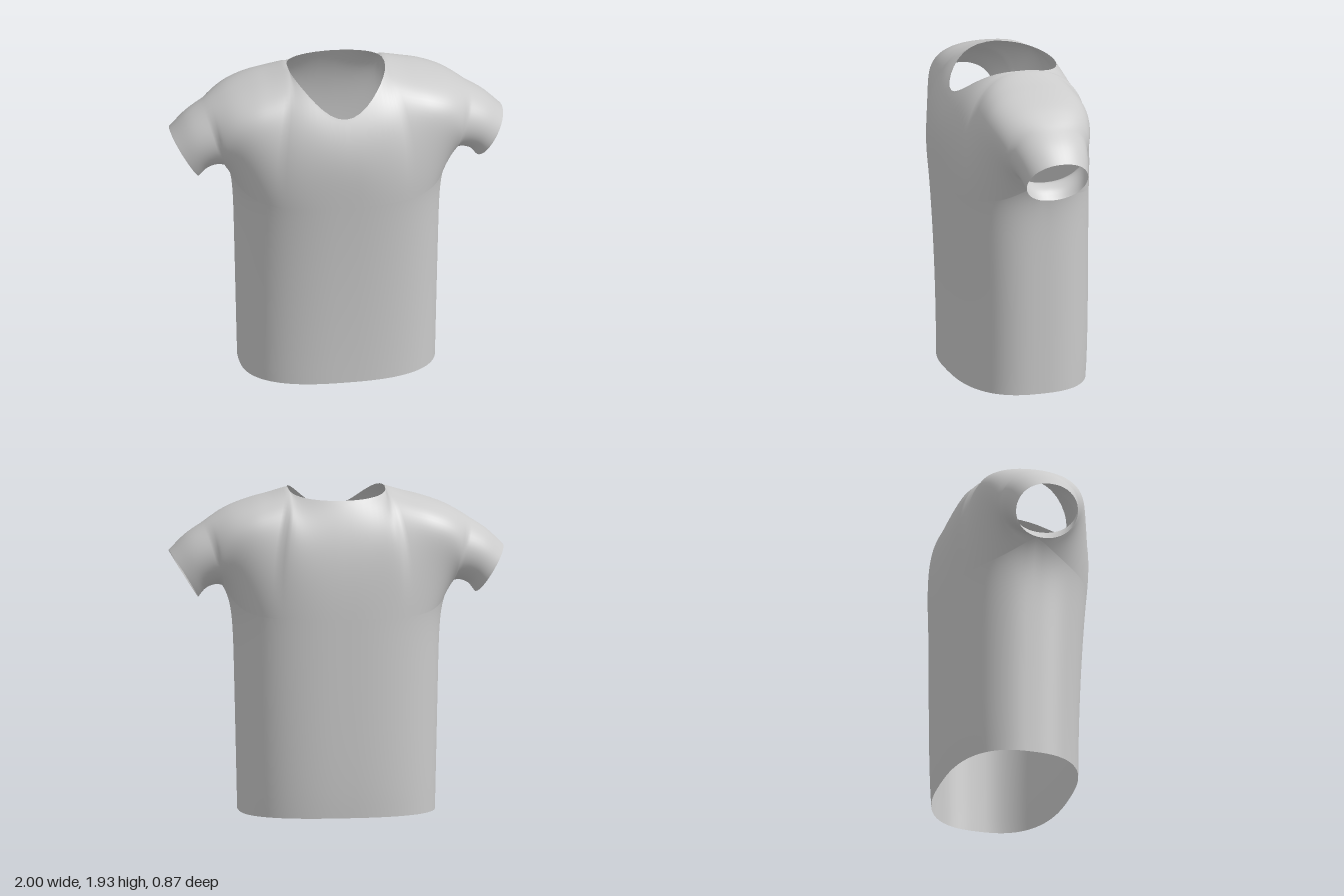
import * as THREE from 'three';
import { mergeGeometries, mergeVertices } from 'three/addons/utils/BufferGeometryUtils.js';

const V = (x, y, z) => new THREE.Vector3(x, y, z);
const lerp = THREE.MathUtils.lerp;

// Columns run from the centre line (0) past the neck corner and the armpit to the cuff
const NECK = 10, ARMPIT = 28, CUFF = 40, ROWS = 24;
const ZC = -0.025; // depth of the side and shoulder seams

const spline = (pts) => new THREE.CatmullRomCurve3(pts.map(([x, y]) => V(x, y, ZC)));
const shoulder = spline([[0.29, 1.935], [0.4, 1.9], [0.5, 1.873], [0.65, 1.82], [0.75, 1.765], [0.8, 1.732], [0.9, 1.665], [1, 1.57]]);
const underarm = spline([[0.686, 1.36], [0.725, 1.367], [0.785, 1.345], [0.83, 1.292]]);

// Point on the torso: rounded oval that flares into the armpit
function torso(k, y, side) {
  const a = (k / ARMPIT) * Math.PI / 2;
  const width = 0.586 + 0.022 * y + 0.07 * (y / 1.36) ** 14;
  const depth = side > 0 ? 0.37 + 0.035 * y * y : -0.44 + 0.015 * Math.exp(-5 * y);
  return V(width * Math.sin(a) ** 0.77, y, ZC + (depth - ZC) * Math.cos(a) ** 0.77);
}

// Height where the torso column hands over to the yoke
const ringY = (k) => 1.2 + 0.16 * (k / ARMPIT) ** 4;

// Curve from the torso (or underarm seam) up to the neckline or shoulder seam
function yokeCurve(k, side) {
  let start, end, startHandle, endHandle;
  if (k <= ARMPIT) {
    const y = ringY(k), q = (k / ARMPIT) ** 4;
    start = torso(k, y, side);
    const c = k < NECK ? Math.cos((k / NECK) * Math.PI / 2) : 0;
    const rise = lerp(0.45, side > 0 ? 0.25 : 0.35, c) * (1 - q);
    startHandle = start.clone().sub(torso(k, y - 0.02, side)).multiplyScalar(rise / 0.02);
    startHandle.z += side * 0.32 * q;
    if (k < NECK) {
      // neckline: deep rounded V in front, shallow behind
      const x = 0.29 * Math.sin((k / NECK) * Math.PI / 2);
      end = side > 0
        ? V(x, 1.935 - 0.18 * c ** 3, ZC + 0.37 * c)
        : V(x, 1.935 - 0.045 * c ** 0.8, ZC - 0.265 * c ** 0.7);
      const slope = c, len = lerp(0.33, 0.2, c);
      endHandle = V(0, -Math.sin(slope) * len, side * Math.cos(slope) * len);
    } else {
      const f = (k - NECK) / (ARMPIT - NECK);
      end = shoulder.getPointAt(0.66 * f);
      endHandle = V(0, 0, side * (lerp(0.33, 0.32, f) + 0.1 * Math.sin(Math.PI * f)));
    }
  } else {
    // sleeve: half of a closed loop
    const f = (k - ARMPIT) / (CUFF - ARMPIT);
    start = underarm.getPointAt(f);
    end = shoulder.getPointAt(0.66 + 0.34 * f);
    startHandle = V(0, 0, side * lerp(0.32, 0.253, f));
    endHandle = startHandle.clone();
  }
  return new THREE.CubicBezierCurve3(start, start.clone().add(startHandle), end.clone().add(endHandle), end);
}

// Grid of columns, mirrored by sx, wound so that it faces outwards
function sheet(columns, sx, side) {
  const pos = [], index = [], n = ROWS + 1;
  columns.forEach((col) => col.forEach((p) => pos.push(sx * p.x, p.y, p.z)));
  for (let i = 0; i < columns.length - 1; i++) {
    for (let j = 0; j < ROWS; j++) {
      const a = i * n + j, b = a + n, c = b + 1, d = a + 1;
      if (sx * side > 0) index.push(a, b, c, a, c, d);
      else index.push(a, c, b, a, d, c);
    }
  }
  const g = new THREE.BufferGeometry();
  g.setAttribute('position', new THREE.Float32BufferAttribute(pos, 3));
  g.setIndex(index);
  return g;
}

export function createModel() {
  const sheets = [];
  for (const side of [1, -1]) {
    const body = [], yoke = [];
    for (let k = 0; k <= CUFF; k++) {
      yoke.push(yokeCurve(k, side).getPoints(ROWS));
      if (k <= ARMPIT) {
        body.push(Array.from({ length: ROWS + 1 }, (_, j) => torso(k, ringY(k) * Math.sin((j / ROWS) * Math.PI / 2), side)));
      }
    }
    for (const sx of [1, -1]) sheets.push(sheet(body, sx, side), sheet(yoke, sx, side));
  }
  // weld the seams so the cloth shades as one smooth surface
  const geometry = mergeVertices(mergeGeometries(sheets), 1e-4);
  geometry.computeVertexNormals();

  const shirt = new THREE.Mesh(geometry, new THREE.MeshStandardMaterial({ color: 0xcccccc, side: THREE.DoubleSide }));
  shirt.name = 'shirt';
  const group = new THREE.Group();
  group.name = 'shortSleevedShirt';
  group.add(shirt);
  return group;
}
